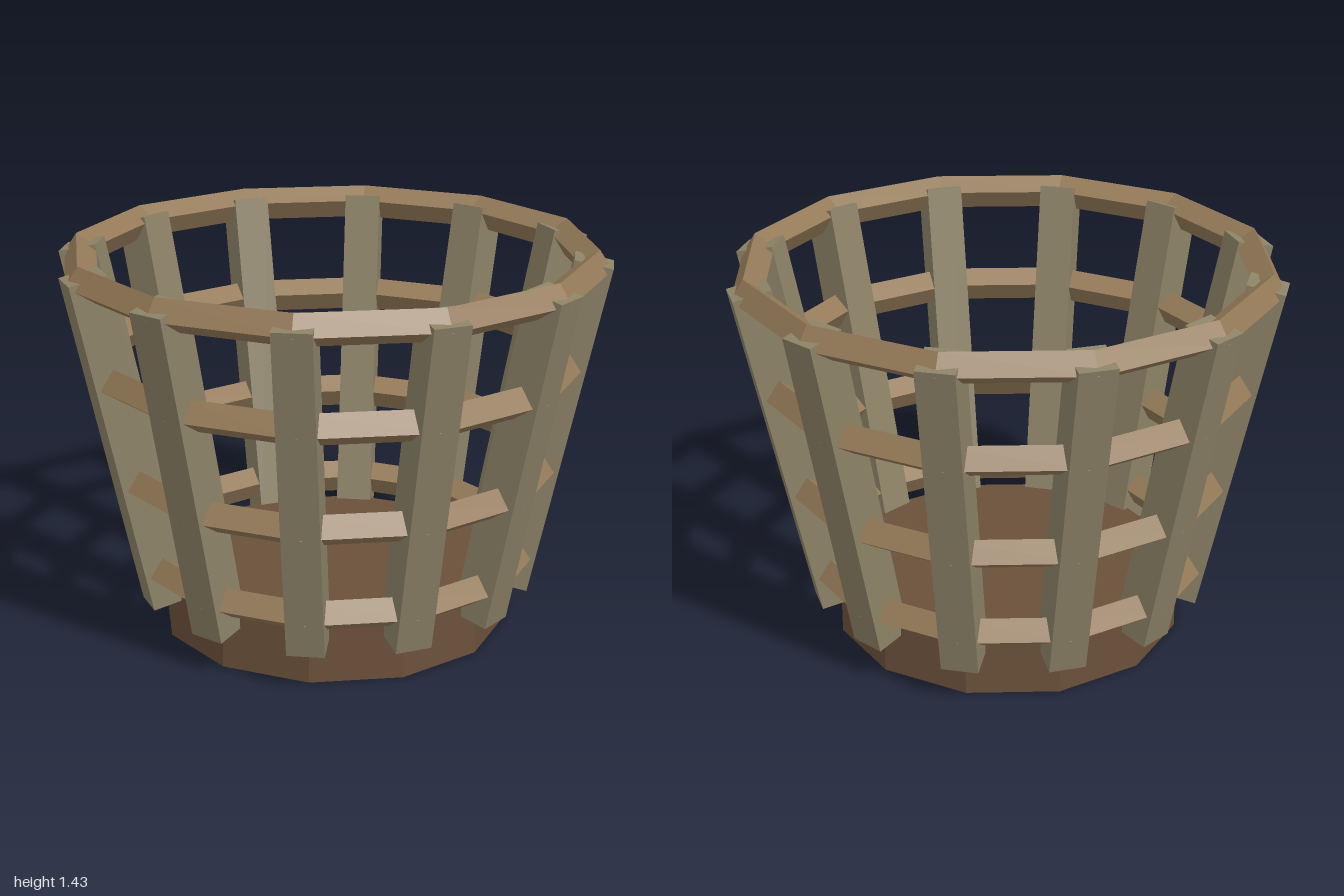
import * as THREE from 'three';

const SIDES = 12;
const LEAN = Math.atan2(0.265, 1.24);
// Outer radius of the leaning wall at height y
const wallRadius = (y) => 0.73 + Math.tan(LEAN) * (y - 0.14);

export function createModel() {
  const group = new THREE.Group();
  const material = (color) => new THREE.MeshStandardMaterial({ color, flatShading: true });
  const baseMat = material(0x6b503a);
  const stakeMat = material(0x8c8266);
  const hoopMat = material(0x947a58);

  // Solid twelve-sided base
  const base = new THREE.Mesh(new THREE.CylinderGeometry(0.645, 0.645, 0.21, SIDES), baseMat);
  base.name = 'base';
  base.position.y = 0.105;
  group.add(base);

  // Stakes leaning outward; the outer bottom edge is the pivot
  const depth = 0.14, length = 1.265;
  const stakeGeo = new THREE.BoxGeometry(0.135, length, depth);
  stakeGeo.translate(0, length / 2, -depth / 2);
  stakeGeo.rotateX(LEAN);
  stakeGeo.translate(0, 0.14, wallRadius(0.14));
  const stakes = new THREE.Group();
  stakes.name = 'stakes';
  for (let i = 0; i < SIDES; i++) {
    const stake = new THREE.Mesh(stakeGeo, stakeMat);
    stake.name = 'stake';
    stake.rotation.y = (i / SIDES) * Math.PI * 2;
    stakes.add(stake);
  }
  group.add(stakes);

  // Hoops with a square section standing on its edge, rolled with the wall
  const r = 0.061;
  const hoops = new THREE.Group();
  hoops.name = 'hoops';
  for (const y of [0.28, 0.625, 1.01, 1.37]) {
    const profile = [];
    for (let k = 0; k <= 4; k++) {
      const a = -Math.PI / 2 - LEAN + (k * Math.PI) / 2;
      profile.push(new THREE.Vector2(wallRadius(y) - r + Math.cos(a) * r, y + Math.sin(a) * r));
    }
    const hoop = new THREE.Mesh(new THREE.LatheGeometry(profile, SIDES), hoopMat);
    hoop.name = y > 1.2 ? 'rim' : 'hoop';
    hoops.add(hoop);
  }
  group.add(hoops);

  return group;
}
